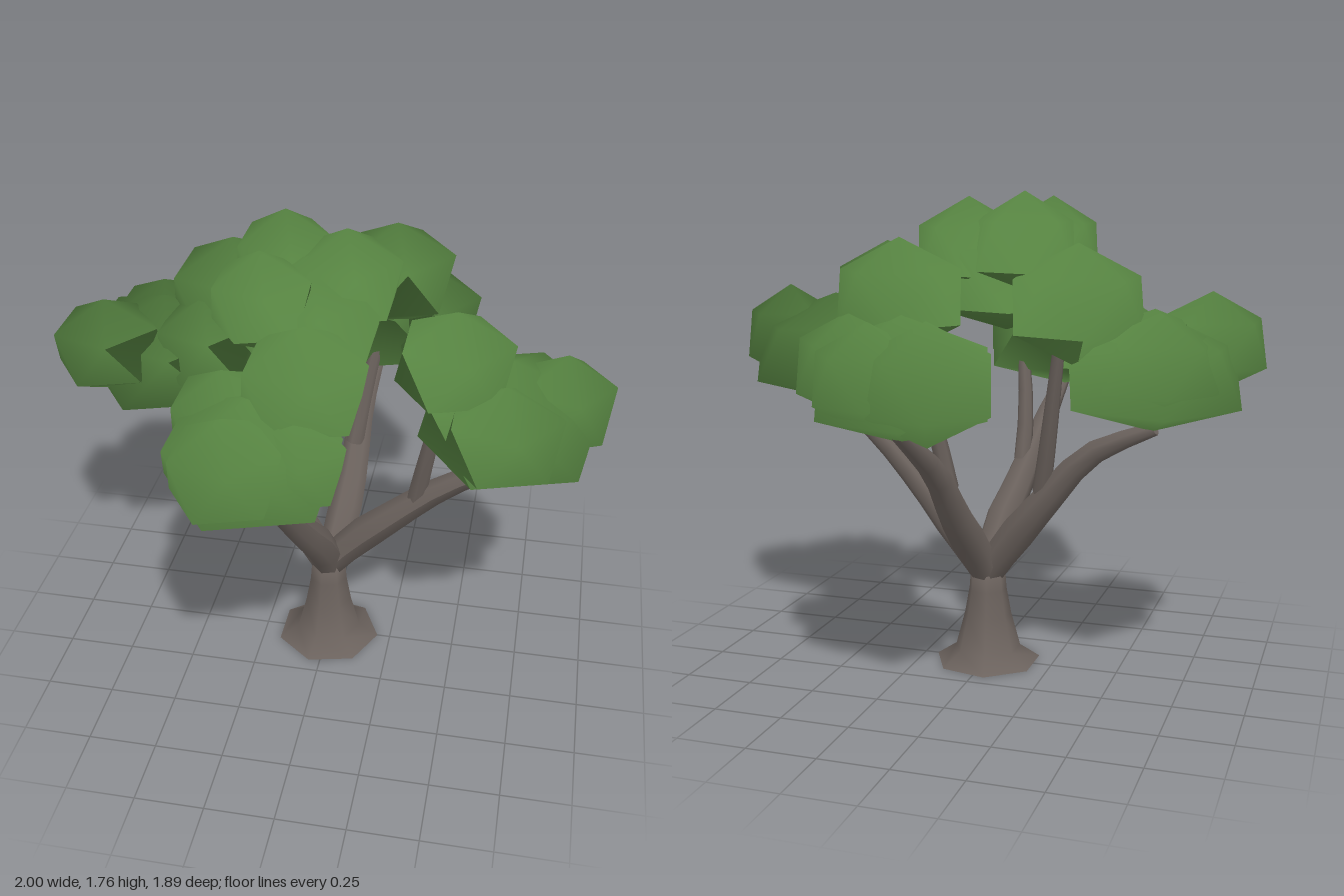
import * as THREE from 'three';

const bark = new THREE.MeshStandardMaterial({ color: 0x6b625d, side: THREE.DoubleSide });
bark.name = 'greyBrownBark';
const leaf = new THREE.MeshStandardMaterial({ color: 0x568341 });
leaf.name = 'leafGreen';

const canopyCentre = new THREE.Vector3(0, 0.9, 0);

// One leaf clump: a squashed icosahedron standing on a corner, with soft normals
// that fan out from the middle of the crown. Broad clumps get a flatter underside.
function clump(x, y, z, width, height) {
  const g = new THREE.IcosahedronGeometry(1, 0);
  g.rotateX(-Math.atan((1 + Math.sqrt(5)) / 2));
  g.rotateY(Math.PI / 2);
  const p = g.attributes.position;
  const centre = new THREE.Vector3(x, y, z);
  const size = new THREE.Vector3(width / 0.89, height, width / 0.89);
  for (let i = 0; i < p.count; i++) {
    const local = new THREE.Vector3().fromBufferAttribute(p, i);
    if (width > 0.25 && local.y < 0 && local.y > -0.9) local.y *= 1.3;
    const v = local.clone().multiply(size).add(centre);
    const n = v.clone().sub(canopyCentre).normalize().addScaledVector(local, 0.3).normalize();
    p.setXYZ(i, v.x, v.y, v.z);
    g.attributes.normal.setXYZ(i, n.x, n.y, n.z);
  }
  return new THREE.Mesh(g, leaf);
}

// Tapered limb through a few points, with one radius per point
function limb(name, points, radii) {
  const curve = new THREE.CatmullRomCurve3(points.map((p) => new THREE.Vector3(...p)), false, 'centripetal');
  const rings = (points.length - 1) * 2, sides = 7;
  const g = new THREE.TubeGeometry(curve, rings, 1, sides, false);
  const p = g.attributes.position;
  for (let i = 0; i <= rings; i++) {
    const c = curve.getPointAt(i / rings);
    const t = (i / rings) * (radii.length - 1);
    const k = Math.min(Math.floor(t), radii.length - 2);
    const r = THREE.MathUtils.lerp(radii[k], radii[k + 1], t - k);
    for (let j = 0; j <= sides; j++) {
      const n = i * (sides + 1) + j;
      const v = new THREE.Vector3().fromBufferAttribute(p, n).sub(c).multiplyScalar(r).add(c);
      p.setXYZ(n, v.x, v.y, v.z);
    }
  }
  g.computeVertexNormals();
  const mesh = new THREE.Mesh(g, bark);
  mesh.name = name;
  return mesh;
}

export function createModel() {
  const tree = new THREE.Group();
  tree.name = 'tree';

  // Trunk with flared open foot, one corner towards +x
  const profile = [[0.2, 0], [0.125, 0.05], [0.09, 0.18], [0.072, 0.28], [0.065, 0.37], [0, 0.39]];
  const trunk = new THREE.Mesh(
    new THREE.LatheGeometry(profile.map(([r, y]) => new THREE.Vector2(r, y)), 7), bark);
  trunk.rotation.y = Math.PI / 2;
  trunk.name = 'trunk';
  tree.add(trunk);

  // Four main branches, each with an upright side shoot
  const thick = [0.058, 0.066, 0.054, 0.042, 0.025];
  const thin = [0.035, 0.028, 0.02];
  tree.add(
    limb('leftBranch', [[0, 0.34, 0], [-0.1, 0.48, -0.03], [-0.24, 0.65, -0.08], [-0.42, 0.85, -0.12], [-0.65, 0.96, -0.15]], thick),
    limb('leftShoot', [[-0.23, 0.69, -0.08], [-0.27, 0.9, -0.14], [-0.33, 1.28, -0.22]], thin),
    limb('rightBranch', [[0, 0.34, 0], [0.11, 0.48, 0.01], [0.23, 0.61, 0.04], [0.45, 0.82, 0.08], [0.7, 0.99, 0.13]], thick),
    limb('rightShoot', [[0.34, 0.75, 0.07], [0.37, 0.93, 0.11], [0.43, 1.25, 0.17]], thin),
    limb('frontBranch', [[0, 0.34, 0], [-0.01, 0.48, 0.09], [-0.06, 0.66, 0.23], [-0.11, 0.87, 0.4], [-0.14, 1.03, 0.62]], thick),
    limb('frontShoot', [[-0.06, 0.73, 0.26], [-0.06, 0.92, 0.3], [-0.02, 1.25, 0.38]], thin),
    limb('backBranch', [[0, 0.34, 0], [0.03, 0.47, -0.1], [0.05, 0.62, -0.24], [0.06, 0.82, -0.42], [0.1, 0.99, -0.65]], thick),
    limb('backShoot', [[0.05, 0.73, -0.29], [0.08, 0.93, -0.33], [0.15, 1.28, -0.39]], thin),
  );

  // Leaf clumps: x, y, z, width radius, height radius
  const foliage = {
    leftFoliage: [[-0.64, 1.16, -0.15, 0.3, 0.21], [-0.81, 1.24, 0.02, 0.19, 0.18], [-0.68, 1.19, -0.28, 0.2, 0.18],
      [-0.46, 1.24, -0.05, 0.18, 0.19], [-0.39, 1.38, -0.22, 0.23, 0.21]],
    rightFoliage: [[0.65, 1.16, 0.11, 0.31, 0.21], [0.83, 1.21, 0.09, 0.17, 0.19], [0.46, 1.38, 0.18, 0.2, 0.19],
      [0.64, 1.18, 0.29, 0.2, 0.19]],
    frontFoliage: [[-0.15, 1.19, 0.55, 0.3, 0.2], [-0.18, 1.26, 0.77, 0.18, 0.19], [0, 1.39, 0.43, 0.21, 0.21],
      [-0.28, 1.22, 0.4, 0.18, 0.18], [0, 1.2, 0.6, 0.17, 0.17]],
    backFoliage: [[0.1, 1.16, -0.6, 0.29, 0.21], [-0.04, 1.17, -0.75, 0.21, 0.2], [0.16, 1.18, -0.74, 0.18, 0.18],
      [0.29, 1.19, -0.54, 0.2, 0.19], [0.18, 1.41, -0.41, 0.215, 0.2]],
    topFoliage: [[-0.06, 1.46, 0.04, 0.27, 0.2], [-0.17, 1.57, -0.11, 0.18, 0.19], [0.06, 1.55, -0.03, 0.19, 0.19],
      [-0.19, 1.56, 0.2, 0.17, 0.18]],
  };
  for (const [name, clumps] of Object.entries(foliage)) {
    const group = new THREE.Group();
    group.name = name;
    clumps.forEach((c, i) => {
      const mesh = clump(...c);
      mesh.name = 'leafClump' + (i + 1);
      group.add(mesh);
    });
    tree.add(group);
  }
  return tree;
}
